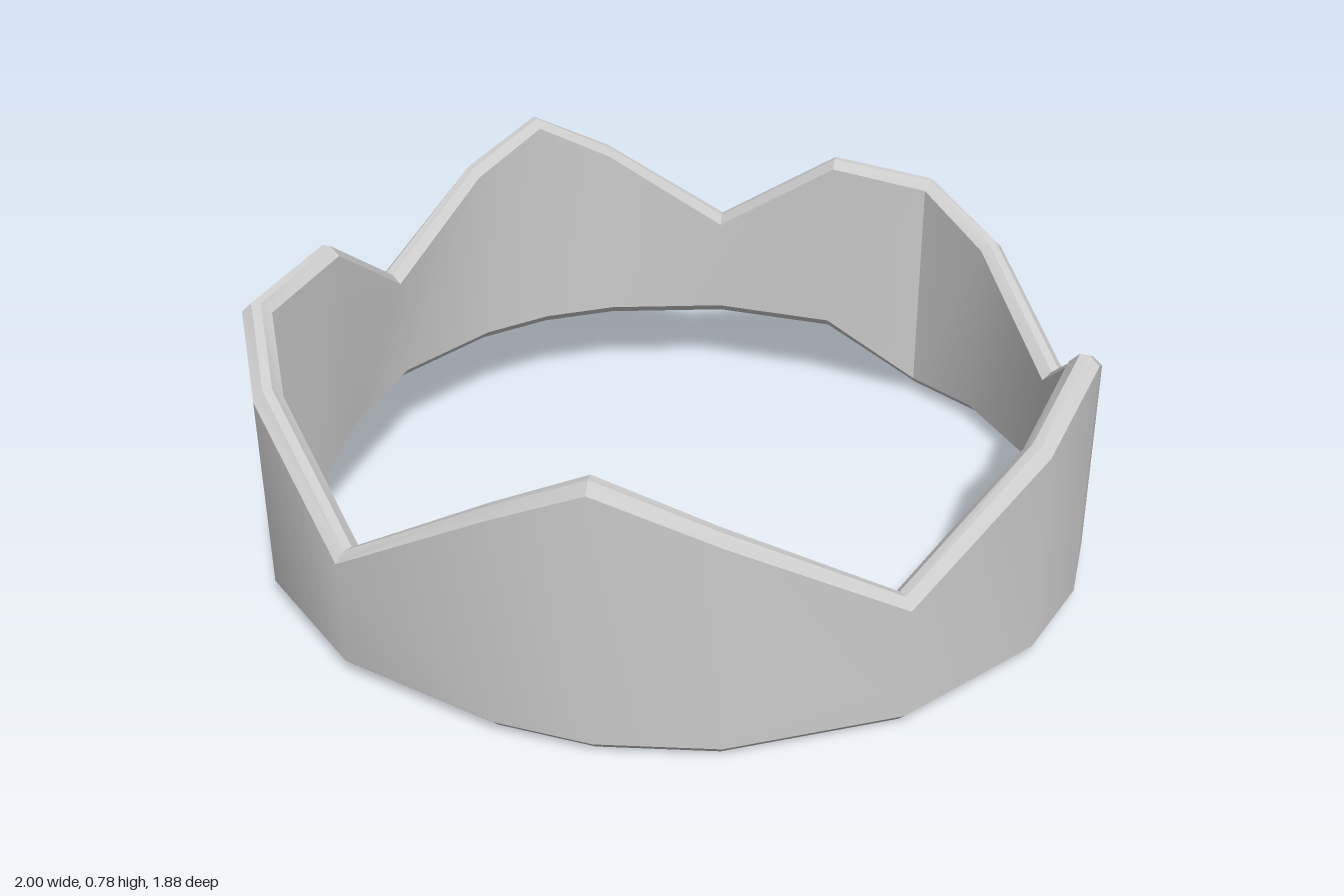
import * as THREE from 'three';
import { toCreasedNormals } from 'three/addons/utils/BufferGeometryUtils.js';

const THICK = 0.065, CHAMFER = 0.022, DEPTH = 0.045;

// Half outlines of the sunken sockets: [distance from the column, height], bottom to top
const roundSocket = Array.from({ length: 9 }, (_, k) => {
  const a = (k / 8) * Math.PI;
  return [k % 8 ? 0.072 * Math.sin(a) : 0, 0.33 - 0.072 * Math.cos(a)];
});
const leafSocket = [[0, 0.1], [0.045, 0.135], [0.065, 0.2], [0.035, 0.16], [0.016, 0.165], [0.02, 0.215], [0, 0.24]];

// Columns of the band from back to front: x, z, top, bottom, socket
const half = [
  [0, -0.94, 0.78, 0.185, roundSocket],
  [0.21, -0.91, 0.68, 0.185],
  [0.51, -0.77, 0.475, 0.185],
  [0.73, -0.53, 0.675, 0.185],
  [0.95, -0.375, 0.625, 0.02, leafSocket],
  [1, -0.13, 0.515, 0.017],
  [0.95, 0.24, 0.295, 0.012],
  [0.75, 0.575, 0.515, 0.007],
  [0.6, 0.73, 0.61, 0.004],
  [0.38, 0.86, 0.505, 0.002],
  [0, 0.935, 0.295, 0],
];

function makeColumns() {
  const mirrored = half.slice(1, -1).reverse().map(([x, ...rest]) => [-x, ...rest]);
  const cols = [...half, ...mirrored].map(([x, z, top, bottom, socket]) => (
    { pos: new THREE.Vector3(x, 0, z), top, bottom, socket }));
  const n = cols.length;
  const inward = (a, b) => {
    const d = b.pos.clone().sub(a.pos).normalize();
    return new THREE.Vector3(-d.z, 0, d.x);
  };
  cols.forEach((c, i) => {
    const n1 = inward(cols[(i + n - 1) % n], c);
    const n2 = inward(c, cols[(i + 1) % n]);
    // mitred direction keeps the wall thickness constant
    c.inward = n1.clone().add(n2).divideScalar(1 + n1.dot(n2));
    const t = THICK, k = CHAMFER, { top, bottom } = c;
    c.section = [
      [0, bottom + k], [k, bottom], [t - k, bottom], [t, bottom + k],
      [t, top - k], [t - k, top], [k, top], [0, top - k],
    ].map(([o, y]) => c.pos.clone().addScaledVector(c.inward, o).setY(y));
  });
  return cols;
}

function build(cols, bandTris, socketTris) {
  const tri = (out, a, b, c) => out.push(a, b, c);
  const quad = (out, a, b, c, d) => { tri(out, a, b, c); tri(out, a, c, d); };

  cols.forEach((A, i) => {
    const B = cols[(i + 1) % cols.length];
    // chamfers, rims and inner wall
    for (let k = 0; k < 7; k++) quad(bandTris, A.section[k], B.section[k], B.section[k + 1], A.section[k + 1]);

    // outer wall, notched where a socket sits on a column
    const length = A.pos.distanceTo(B.pos);
    const dir = B.pos.clone().sub(A.pos).normalize();
    const at = ([s, y]) => A.pos.clone().addScaledVector(dir, s).setY(y);
    const notchA = A.socket || [];
    const notchB = (B.socket || []).map(([s, y]) => [length - s, y]);
    const outline = [
      [0, A.section[0].y], [length, B.section[0].y], ...notchB,
      [length, B.section[7].y], [0, A.section[7].y], ...notchA.slice().reverse(),
    ];
    const fill = (pts2, pts3, out, flip) => {
      const flat = pts2.map(([s, y]) => new THREE.Vector2(s, y));
      for (const [a, b, c] of THREE.ShapeUtils.triangulateShape(flat, [])) {
        if (flip) tri(out, pts3[a], pts3[c], pts3[b]);
        else tri(out, pts3[a], pts3[b], pts3[c]);
      }
    };
    fill(outline, outline.map(at), bandTris, true);

    // socket sides and floor
    for (const [col, notch, isA] of [[A, notchA, true], [B, notchB, false]]) {
      if (!notch.length) continue;
      const rim = notch.map(at);
      const deep = rim.map((p) => p.clone().addScaledVector(col.inward, DEPTH));
      for (let k = 0; k < rim.length - 1; k++) {
        if (isA) quad(socketTris, rim[k], deep[k], deep[k + 1], rim[k + 1]);
        else quad(socketTris, rim[k], rim[k + 1], deep[k + 1], deep[k]);
      }
      // the floor outline always runs counter-clockwise
      const floor2 = isA ? notch : notch.slice().reverse();
      const floor3 = isA ? deep : deep.slice().reverse();
      fill(floor2, floor3, socketTris, true);
    }
  });
}

function toMesh(name, points) {
  const geometry = new THREE.BufferGeometry().setFromPoints(points);
  const mesh = new THREE.Mesh(
    toCreasedNormals(geometry, 0.53),
    new THREE.MeshStandardMaterial({ color: 0xcccccc }),
  );
  mesh.name = name;
  return mesh;
}

export function createModel() {
  const group = new THREE.Group();
  group.name = 'crown';
  const band = [], sockets = [];
  build(makeColumns(), band, sockets);
  group.add(toMesh('crownBand', band), toMesh('gemSockets', sockets));
  return group;
}
